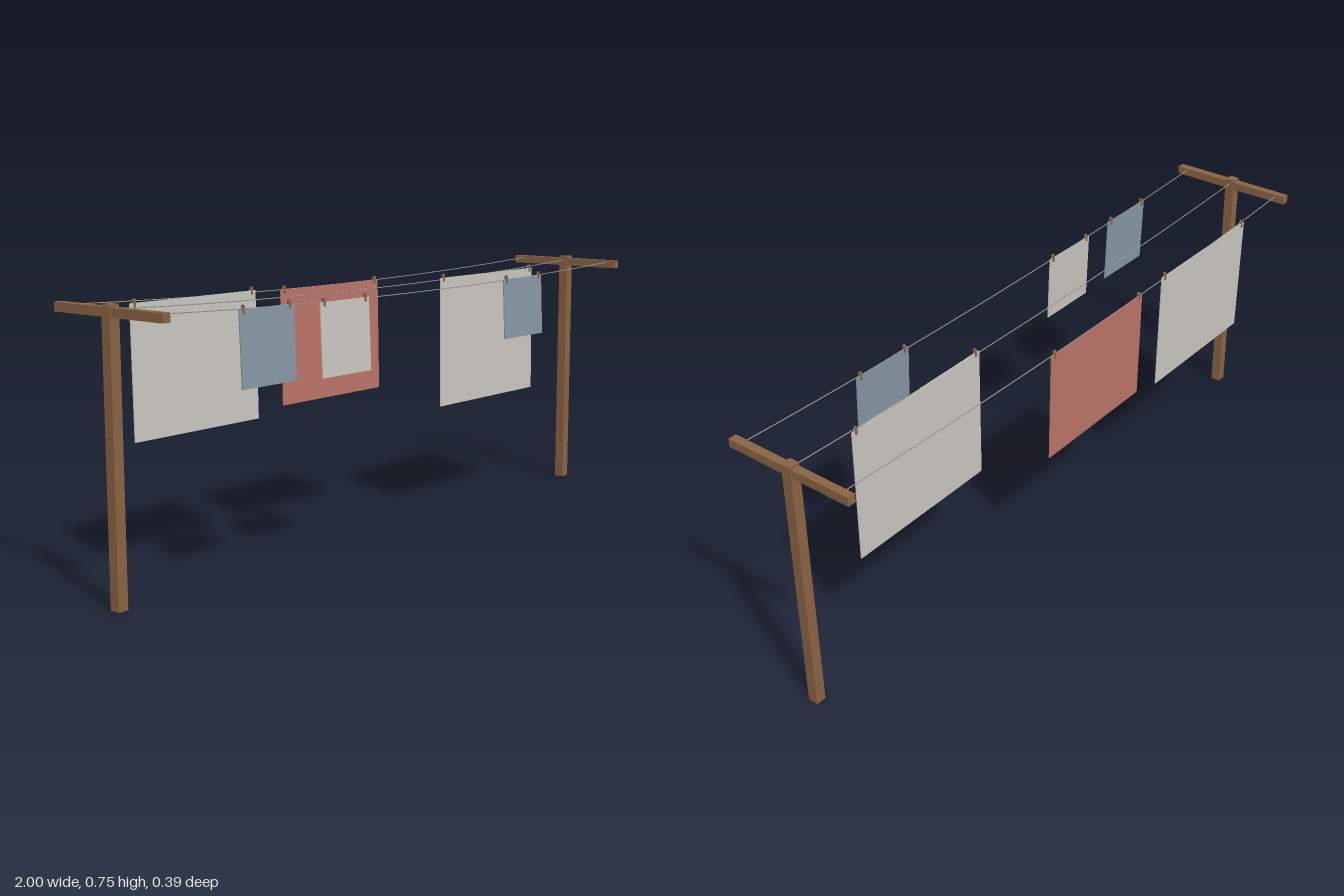
import * as THREE from 'three';

const mat = (name, color, side = THREE.FrontSide) => {
  const m = new THREE.MeshStandardMaterial({ color, side });
  m.name = name;
  return m;
};

const SPAN = 0.985;   // post centre in x
const LINE_Z = 0.164; // outer line offset

// height of a sagging line at x
const lineY = (x) => 0.719 + 0.022 * (x / SPAN) ** 2;

export function createModel() {
  const wood = mat('wood', 0x8a6343);
  const pegWood = mat('pegWood', 0x8a6a48);
  const cord = mat('cord', 0x9a9a94);
  const white = mat('offWhiteCloth', 0xc9c6c0);
  const blue = mat('blueCloth', 0x8797a5);
  const red = mat('redCloth', 0xbb7468);

  const model = new THREE.Group();
  model.name = 'clothesline';

  const box = (parent, name, material, size, pos) => {
    const mesh = new THREE.Mesh(new THREE.BoxGeometry(...size), material);
    mesh.name = name;
    mesh.position.set(...pos);
    parent.add(mesh);
    return mesh;
  };

  // T-shaped end posts
  for (const s of [-1, 1]) {
    const support = new THREE.Group();
    support.name = s > 0 ? 'leftSupport' : 'rightSupport';
    box(support, 'post', wood, [0.03, 0.754, 0.03], [s * SPAN, 0.377, 0]);
    box(support, 'crossbar', wood, [0.024, 0.024, 0.392], [s * SPAN, 0.735, 0]);
    model.add(support);
  }

  // three sagging lines
  for (const z of [-LINE_Z, 0, LINE_Z]) {
    const points = [];
    for (let i = 0; i <= 8; i++) {
      const x = -SPAN + (2 * SPAN * i) / 8;
      points.push(new THREE.Vector3(x, lineY(x), z));
    }
    const line = new THREE.Mesh(
      new THREE.TubeGeometry(new THREE.CatmullRomCurve3(points), 24, 0.0014, 6), cord);
    line.name = 'line';
    model.add(line);
  }

  // laundry: name, material, x from, x to, bottom y, line z, z drift at the hem
  const laundry = [
    ['backSheet', white, -0.785, -0.332, 0.367, -LINE_Z, 0.006],
    ['redSheet', red, -0.231, 0.194, 0.39, -LINE_Z, 0.006],
    ['middleSheet', white, 0.294, 0.781, 0.334, 0, 0.004],
    ['blueTowel', blue, -0.722, -0.528, 0.532, LINE_Z, 0.008],
    ['whiteTowel', white, -0.428, -0.234, 0.525, LINE_Z, 0.008],
    ['blueTowel', blue, 0.39, 0.59, 0.546, LINE_Z, 0.008],
  ];
  for (const [name, material, x0, x1, bottom, z, drift] of laundry) {
    const item = new THREE.Group();
    item.name = name;
    const mid = (x0 + x1) / 2;
    const top = lineY(mid) + 0.001;
    const h = top - bottom;
    const cloth = box(item, 'cloth', material, [x1 - x0, h, 0.003], [mid, bottom + h / 2, z]);
    // lean the cloth so its hem drifts forward
    const p = cloth.geometry.attributes.position;
    for (let i = 0; i < p.count; i++) {
      p.setZ(i, p.getZ(i) + drift * (0.5 - p.getY(i) / h));
    }
    cloth.geometry.computeVertexNormals();
    // pegs near the top corners
    for (const x of [x0 + 0.015, x1 - 0.015]) {
      box(item, 'peg', pegWood, [0.007, 0.022, 0.008], [x, top, z]);
    }
    model.add(item);
  }
  return model;
}
